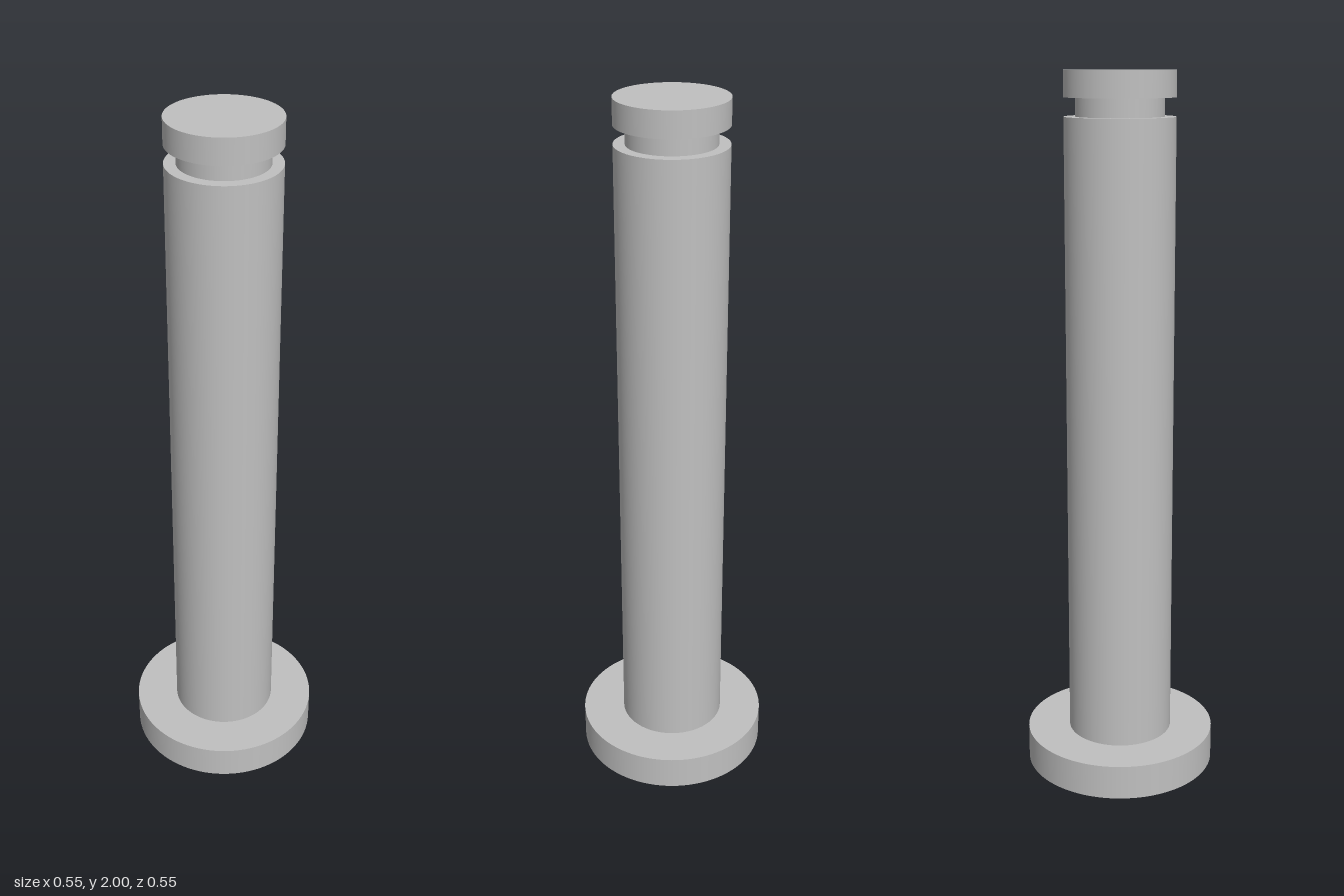
import * as THREE from 'three';

export function createModel() {
  const model = new THREE.Group();
  model.name = 'grooved pin';
  const steel = new THREE.MeshStandardMaterial({ color: 0xc0c0c0 });
  steel.name = 'grey steel';

  // Stacked round sections: name, radius, bottom, top
  const sections = [
    ['flange', 0.274, 0, 0.1],
    ['shaft', 0.151, 0.1, 1.88],
    ['grooveNeck', 0.12, 1.88, 1.93],
    ['endCap', 0.151, 1.93, 2],
  ];
  for (const [name, radius, bottom, top] of sections) {
    const geometry = new THREE.CylinderGeometry(radius, radius, top - bottom, 96);
    const mesh = new THREE.Mesh(geometry, steel);
    mesh.name = name;
    mesh.position.y = (bottom + top) / 2;
    model.add(mesh);
  }
  return model;
}
